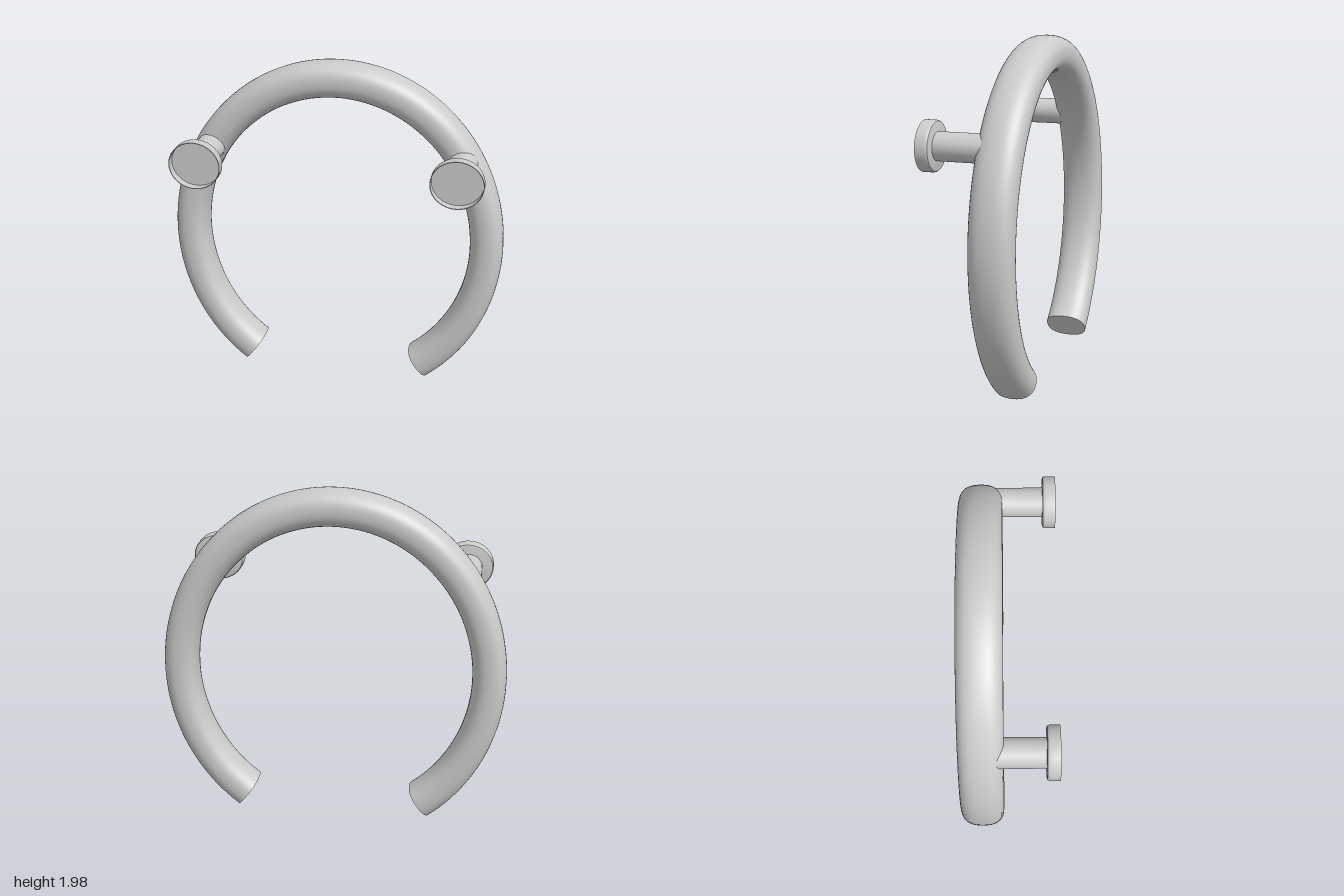
import * as THREE from 'three';
import { toCreasedNormals } from 'three/addons/utils/BufferGeometryUtils.js';

const RX = 0.9, RY = 0.985, CY = 0.89, RING_Z = -0.15; // elliptical centre line
const material = new THREE.MeshStandardMaterial({ color: 0xcccccc, side: THREE.DoubleSide });

const add = (parent, geometry, name) => {
  const mesh = new THREE.Mesh(toCreasedNormals(geometry, 0.6), material);
  mesh.name = name;
  parent.add(mesh);
  return mesh;
};

// Rounded oval section swept along an open ellipse, closed by flat ends
function ringGeometry(steps = 112, sides = 36) {
  const start = -0.956, end = Math.PI + 0.956;
  const positions = [], index = [];
  const soft = (v) => Math.sign(v) * Math.abs(v) ** (2 / 2.4);
  for (let i = 0; i <= steps; i++) {
    const t = start + (end - start) * i / steps;
    const c = Math.cos(t), s = Math.sin(t);
    const n = new THREE.Vector2(RY * c, RX * s).normalize();
    const r = 0.098 + 0.007 * s * s;
    for (let j = 0; j < sides; j++) {
      const a = 2 * Math.PI * j / sides;
      const k = r * soft(Math.cos(a));
      positions.push(RX * c + n.x * k, CY + RY * s + n.y * k, RING_Z + 0.125 * soft(Math.sin(a)));
    }
  }
  for (let i = 0; i < steps; i++) {
    for (let j = 0; j < sides; j++) {
      const a = i * sides + j, b = i * sides + (j + 1) % sides;
      index.push(a, a + sides, b, b, a + sides, b + sides);
    }
  }
  // end caps
  const last = steps * sides;
  for (let j = 1; j < sides - 1; j++) {
    index.push(0, j, j + 1, last, last + j + 1, last + j);
  }
  const geometry = new THREE.BufferGeometry();
  geometry.setAttribute('position', new THREE.Float32BufferAttribute(positions, 3));
  geometry.setIndex(index);
  return geometry;
}

// Post and shallow cup, turned about the z axis
function mount(side) {
  const group = new THREE.Group();
  group.name = side > 0 ? 'leftMount' : 'rightMount';
  const post = new THREE.CylinderGeometry(0.085, 0.085, 0.36, 40, 1, true);
  post.rotateX(Math.PI / 2).translate(0, 0, 0.03);
  add(group, post, 'post');

  const profile = [
    [0, 0.203], [0.135, 0.203], [0.144, 0.206], [0.149, 0.213], [0.15, 0.22],
    [0.15, 0.276], [0.146, 0.276], [0.146, 0.225], [0, 0.225],
  ].map(([r, z]) => new THREE.Vector2(r, z));
  add(group, new THREE.LatheGeometry(profile, 56).rotateX(Math.PI / 2), 'flange');

  group.scale.y = 0.93;
  group.position.set(side * 0.744, 1.442, 0);
  return group;
}

export function createModel() {
  const model = new THREE.Group();
  model.name = 'curvedGrabBar';
  add(model, ringGeometry(), 'openRing');
  for (const side of [1, -1]) model.add(mount(side));
  return model;
}
